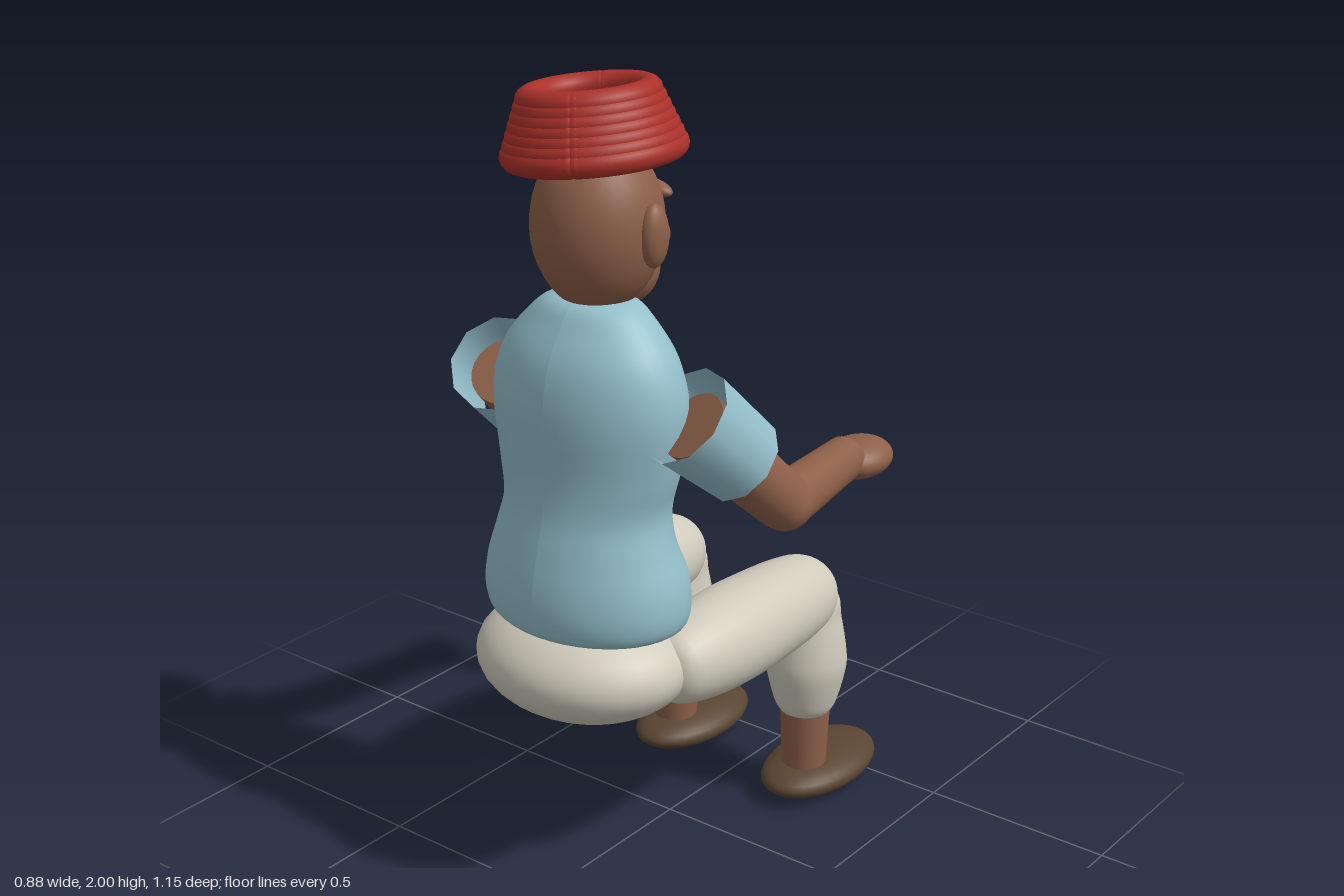
import * as THREE from 'three';

const V = (x, y, z) => new THREE.Vector3(x, y, z);
const paint = (color, name, side = THREE.FrontSide) => {
  const m = new THREE.MeshStandardMaterial({ color, side });
  m.name = name;
  return m;
};

export function createModel() {
  const root = new THREE.Group();
  root.name = 'seatedFigure';
  const skin = paint(0x8d6049, 'skin');
  const shirt = paint(0x94bfcb, 'shirt blue', THREE.DoubleSide);
  const cloth = paint(0xcfcabb, 'trouser cream');
  const red = paint(0xab312a, 'hat red');
  const leather = paint(0x5a4532, 'shoe brown');
  const white = paint(0xe4dccb, 'eye white');
  const dark = paint(0x2b1b16, 'dark');
  const pearl = paint(0xd9cfae, 'button pearl');

  const add = (name, geo, mat, parent = root) => {
    const m = new THREE.Mesh(geo, mat);
    m.name = name;
    parent.add(m);
    return m;
  };
  const ball = (name, mat, [x, y, z], [rx, ry, rz], parent = root) => {
    const m = add(name, new THREE.SphereGeometry(1, 32, 20), mat, parent);
    m.position.set(x, y, z);
    m.scale.set(rx, ry, rz);
    return m;
  };
  // Round limb from a to b
  const limb = (name, mat, a, b, ra, rb, sides = 24, open = false) => {
    const d = b.clone().sub(a);
    const m = add(name, new THREE.CylinderGeometry(rb, ra, d.length(), sides, 1, open), mat);
    m.position.copy(a).addScaledVector(d, 0.5);
    m.quaternion.setFromUnitVectors(V(0, 1, 0), d.normalize());
    return m;
  };
  // Smooth lathe from [radius, height] points, listed upwards
  const turned = pts => new THREE.LatheGeometry(
    new THREE.SplineCurve(pts.map(p => new THREE.Vector2(...p))).getPoints(36)
      .map(p => p.set(Math.max(p.x, 0), p.y)), 32);

  // Torso: elliptical sections, each [y, half width, z centre, half depth]
  const rows = [
    [0.695, 0.2, 0.315, 0.16], [0.715, 0.258, 0.317, 0.198], [0.76, 0.272, 0.32, 0.205],
    [0.83, 0.266, 0.32, 0.2], [0.92, 0.236, 0.325, 0.175], [1.0, 0.22, 0.315, 0.165],
    [1.1, 0.242, 0.305, 0.165], [1.25, 0.262, 0.3, 0.17], [1.36, 0.235, 0.297, 0.152],
    [1.44, 0.175, 0.29, 0.115], [1.485, 0.12, 0.285, 0.085], [1.5, 0.04, 0.28, 0.03]];
  const widths = new THREE.CatmullRomCurve3(rows.map(r => V(r[1], r[0], r[3])));
  const centres = new THREE.CatmullRomCurve3(rows.map(r => V(0, r[0], r[2])));
  const torso = new THREE.CylinderGeometry(1, 1, 1, 40, 44, true);
  const p = torso.attributes.position;
  for (let i = 0; i < p.count; i++) {
    const t = THREE.MathUtils.clamp(p.getY(i) + 0.5, 0, 1);
    const w = widths.getPoint(t), c = centres.getPoint(t);
    p.setXYZ(i, p.getX(i) * w.x, w.y, c.z + p.getZ(i) * w.z);
  }
  torso.computeVertexNormals();
  add('shirtBody', torso, shirt);

  // Button strip
  const strip = add('buttonStrip', new THREE.BoxGeometry(0.026, 0.41, 0.026), shirt);
  strip.position.set(0, 1.125, 0.124);
  for (const y of [1.24, 1.15, 1.06, 0.97])
    ball('button', pearl, [0, y, 0.11], [0.012, 0.012, 0.008]);

  // Hips, legs and shoes
  ball('hips', cloth, [0, 0.6, 0.333], [0.28, 0.145, 0.242]);
  const thighShape = turned([[0, 0], [0.08, 0.03], [0.112, 0.12], [0.125, 0.26],
    [0.122, 0.4], [0.112, 0.54], [0.094, 0.62], [0.055, 0.668], [0, 0.685]]);
  const shinShape = turned([[0.066, 0.25], [0.082, 0.28], [0.104, 0.37], [0.103, 0.43],
    [0.088, 0.52], [0.075, 0.58], [0, 0.63]]);
  for (const s of [-1, 1]) {
    const side = s > 0 ? 'left' : 'right';
    const thigh = add(side + 'Thigh', thighShape, cloth);
    thigh.position.set(s * 0.212, 0.6, 0.32);
    thigh.rotation.x = -Math.PI / 2 - 0.015;
    add(side + 'Shin', shinShape, cloth).position.set(s * 0.215, 0, -0.3);
    limb(side + 'Ankle', skin, V(s * 0.215, 0.06, -0.3), V(s * 0.215, 0.26, -0.3), 0.057, 0.066);
    ball(side + 'Shoe', leather, [s * 0.213, 0.053, -0.373], [0.122, 0.053, 0.202]);

    // Sleeve and arm
    limb(side + 'Sleeve', shirt, V(s * 0.28, 1.27, 0.305), V(s * 0.333, 1.128, 0.158),
      0.124, 0.108, 10, true);
    const elbow = V(s * 0.37, 0.99, 0.035), wrist = V(s * 0.308, 0.977, -0.31);
    limb(side + 'UpperArm', skin, V(s * 0.285, 1.24, 0.28), elbow, 0.085, 0.07);
    ball(side + 'Elbow', skin, elbow.toArray(), [0.07, 0.068, 0.07]);
    limb(side + 'Forearm', skin, elbow, wrist, 0.068, 0.056);
    ball(side + 'Hand', skin, [s * 0.31, 0.962, -0.37], [0.081, 0.05, 0.1]);
    for (let i = 0; i < 4; i++) {
      const x = (s > 0 ? 0.255 : -0.24) + i * 0.021;
      limb(side + 'Finger', skin, V(x, 0.938, -0.375), V(x, 0.91, -0.435), 0.01, 0.009, 10);
    }

    // Ear, cheek, brow and eye
    ball(side + 'Ear', skin, [s * 0.155, 1.655, 0.255], [0.03, 0.075, 0.04]);
    ball(side + 'Cheek', skin, [s * 0.062, 1.622, 0.155], [0.05, 0.045, 0.045]);
    const brow = ball(side + 'Brow', skin, [s * 0.064, 1.727, 0.136], [0.048, 0.017, 0.024]);
    brow.rotation.z = -s * 0.2;
    ball(side + 'Eye', white, [s * 0.057, 1.69, 0.136], [0.024, 0.018, 0.018]);
    ball(side + 'Pupil', dark, [s * 0.056, 1.69, 0.121], [0.011, 0.011, 0.007]);
    ball(side + 'NoseWing', skin, [s * 0.032, 1.632, 0.106], [0.024, 0.02, 0.026]);
    ball(side + 'Nostril', dark, [s * 0.018, 1.611, 0.09], [0.009, 0.006, 0.009]);
  }

  // Head
  ball('head', skin, [0, 1.66, 0.266], [0.155, 0.205, 0.157]);
  ball('jaw', skin, [0, 1.545, 0.2], [0.105, 0.095, 0.095]);
  ball('nose', skin, [0, 1.648, 0.098], [0.034, 0.04, 0.043]);
  ball('noseBridge', skin, [0, 1.69, 0.125], [0.02, 0.045, 0.025]);
  const smile = (name, mat, y, z, r) => add(name, new THREE.TubeGeometry(
    new THREE.QuadraticBezierCurve3(V(-0.055, y + 0.014, z + 0.025), V(0, y - 0.02, z - 0.02),
      V(0.055, y + 0.014, z + 0.025)), 20, r, 10), mat);
  smile('upperLip', skin, 1.582, 0.112, 0.011);
  smile('mouth', dark, 1.568, 0.11, 0.009);
  smile('lowerLip', skin, 1.552, 0.114, 0.012);

  // Hat: tilted stack of split rings
  const hat = new THREE.Group();
  hat.name = 'hat';
  hat.position.set(0, 1.8, 0.27);
  hat.rotation.z = 0.113;
  root.add(hat);
  const gap = 0.1, arc = Math.PI - gap;
  for (let i = 0; i < 7; i++) {
    const t = i / 6, r = 0.185 - 0.048 * t;
    for (const start of [1.12, 1.12 + Math.PI]) {
      const ring = add('hatRing', new THREE.TorusGeometry(r, 0.03, 14, 36, arc), red, hat);
      ring.position.y = 0.032 + 0.123 * t;
      ring.rotation.set(Math.PI / 2, 0, start + gap / 2);
      // Rounded ends close each half ring
      for (const a of [start + gap / 2, start + gap / 2 + arc])
        ball('hatRingEnd', red, [r * Math.cos(a), ring.position.y, r * Math.sin(a)],
          [0.03, 0.03, 0.03], hat).scale.setScalar(0.0298);
    }
  }
  return root;
}
